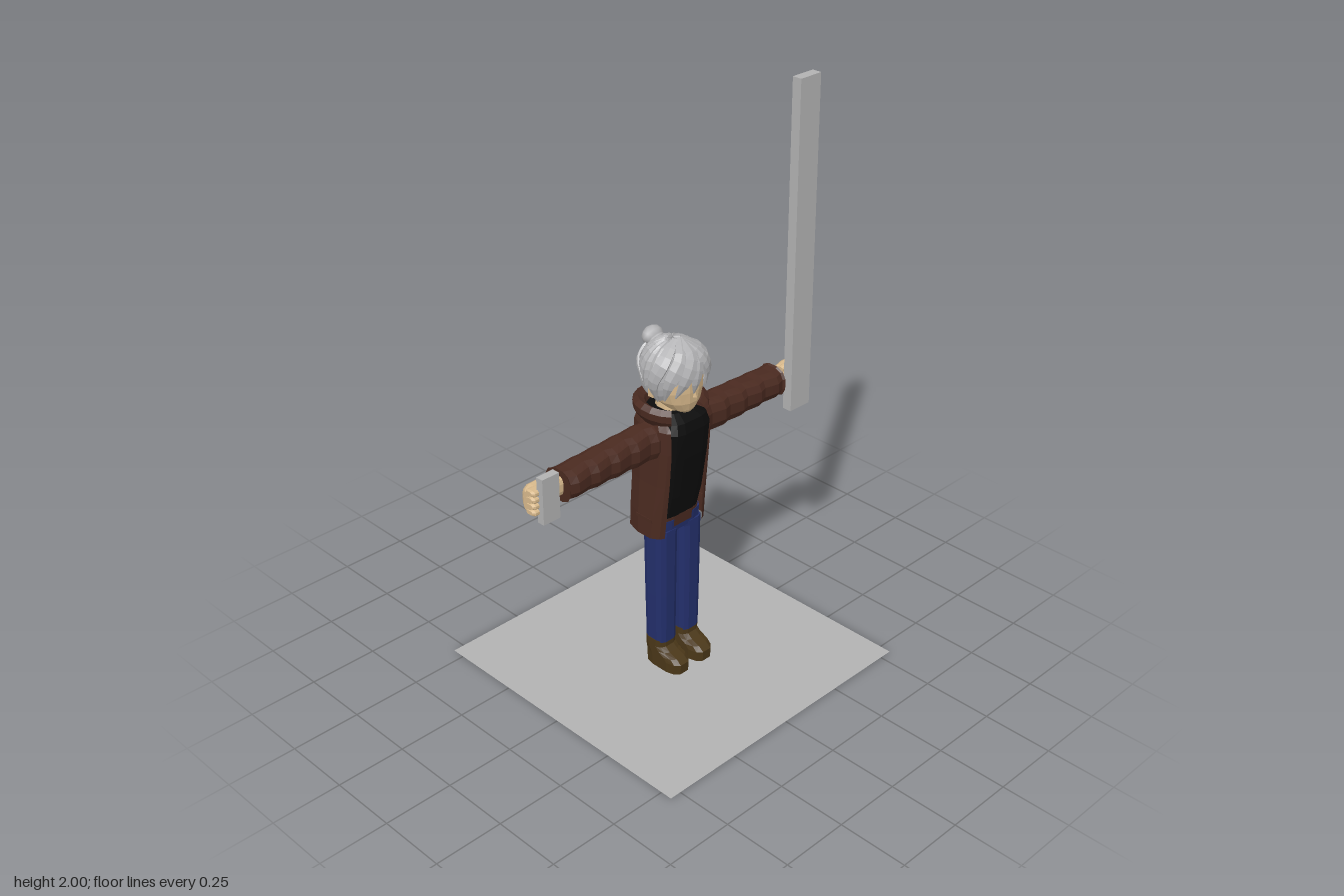
import * as THREE from 'three';

const mat = (name, color, side = THREE.FrontSide) => {
  const m = new THREE.MeshStandardMaterial({ color, side });
  m.name = name;
  return m;
};
const V = (x, y, z) => new THREE.Vector3(x, y, z);

// Faceted surface through rings of points that run counter-clockwise seen from the far end
function loft(rings, { closed = true, caps = true } = {}) {
  const pos = [], n = rings[0].length;
  const tri = (...p) => p.forEach(v => pos.push(v.x, v.y, v.z));
  for (let i = 0; i < rings.length - 1; i++) {
    for (let j = 0; j < (closed ? n : n - 1); j++) {
      const k = (j + 1) % n;
      const a = rings[i][j], b = rings[i][k], c = rings[i + 1][k], d = rings[i + 1][j];
      tri(a, b, c);
      tri(a, c, d);
    }
  }
  if (caps) {
    const mid = r => r.reduce((s, p) => s.add(p), V(0, 0, 0)).divideScalar(n);
    const lo = rings[0], hi = rings[rings.length - 1], ml = mid(lo), mh = mid(hi);
    for (let j = 0; j < n; j++) {
      const k = (j + 1) % n;
      tri(ml, lo[k], lo[j]);
      tri(mh, hi[j], hi[k]);
    }
  }
  const g = new THREE.BufferGeometry();
  g.setAttribute('position', new THREE.Float32BufferAttribute(pos, 3));
  g.computeVertexNormals();
  return g;
}

// Rounded-square ring in a horizontal plane; p sets how square it is
function ring(y, cx, cz, rx, rz, p = 2.6, n = 12) {
  const f = v => Math.sign(v) * Math.abs(v) ** (2 / p);
  return Array.from({ length: n }, (_, j) => {
    const t = (j + 0.5) / n * Math.PI * 2;
    return V(cx + rx * f(Math.sin(t)), y, cz + rz * f(Math.cos(t)));
  });
}

// Copy of a geometry mirrored in x, with its corners put back in order
function mirror(geo) {
  const g = geo.index ? geo.toNonIndexed() : geo.clone();
  g.scale(-1, 1, 1);
  const a = g.attributes.position.array;
  for (let i = 0; i < a.length; i += 9)
    for (let c = 0; c < 3; c++) [a[i + 3 + c], a[i + 6 + c]] = [a[i + 6 + c], a[i + 3 + c]];
  g.computeVertexNormals();
  return g;
}

// Point on the hair surface at an angle from the front (degrees) and a height
function scalp(deg, y, k = 1) {
  const t = THREE.MathUtils.degToRad(deg), c = (y - 1.145) / 0.108;
  const s = Math.sqrt(Math.max(0, 1 - c * c)), r = (c < 0 ? Math.sqrt(s) : s) * k;
  return V(0.108 * r * Math.sin(t), y + (k - 1) * c * 0.108, 0.005 + 0.113 * r * Math.cos(t));
}

// Flattened, tapering lock of hair lying on the scalp
function lock(path, width) {
  const curve = new THREE.CatmullRomCurve3(path.map(([d, y]) => scalp(d, y, 1.04)));
  const rings = [], steps = 8;
  for (let i = 0; i <= steps; i++) {
    const u = i / steps, p = curve.getPoint(u), t = curve.getTangent(u);
    const out = p.clone().sub(V(0, 1.145, 0)).normalize();
    const side = t.clone().cross(out).normalize();
    const w = width * (0.08 + 0.92 * Math.sin(Math.PI * (0.15 + 0.85 * u)));
    rings.push(Array.from({ length: 6 }, (_, j) => {
      const a = j / 6 * Math.PI * 2;
      return p.clone().addScaledVector(out, Math.cos(a) * w * 0.4).addScaledVector(side, Math.sin(a) * w);
    }));
  }
  return loft(rings);
}

export function createModel() {
  const root = new THREE.Group();
  const D = THREE.DoubleSide;
  const skin = mat('skin', 0xd8b98c), hair = mat('greyHair', 0xb2b2b4, D);
  const leather = mat('brownLeather', 0x4a2a20, D), black = mat('blackCloth', 0x0c0c0c);
  const denim = mat('blueDenim', 0x232f6b), boot = mat('bootBrown', 0x4a3718);
  const metal = mat('greyMetal', 0xb2b2b2), floor = mat('floorGrey', 0xb2b2b2, D);

  const add = (name, geo, m) => {
    const mesh = new THREE.Mesh(geo, m);
    mesh.name = name;
    root.add(mesh);
    return mesh;
  };
  const pair = (name, geo, m) => {
    add('left' + name, geo, m);
    add('right' + name, mirror(geo), m);
  };
  const box = (w, h, d, x, y, z) => new THREE.BoxGeometry(w, h, d).translate(x, y, z);
  // Loft along +x from rows of [x, y centre, z centre, y radius, z radius]
  const limb = (rows, p) => loft(rows.map(([x, y, z, ry, rz]) => ring(x, -y, z, ry, rz, p))).rotateZ(-Math.PI / 2);

  // Floor panel
  add('floorPanel', new THREE.PlaneGeometry(1.09, 1.09).rotateX(-Math.PI / 2).translate(0, 0.004, 0), floor);

  // Boots and legs
  pair('Boot', loft([[0, -0.045, 0.118], [0.042, -0.047, 0.12], [0.058, -0.046, 0.1], [0.07, -0.045, 0.065],
    [0.085, -0.044, 0.045], [0.112, -0.045, 0.045]]
    .map(([y, b, f]) => ring(y, 0.055, (f + b) / 2, 0.045, (f - b) / 2, 3))), boot);
  pair('Leg', loft([[0.105, 0.055, 0.043, 0.045], [0.3, 0.056, 0.045, 0.048], [0.54, 0.056, 0.047, 0.051], [0.56, 0.052, 0.052, 0.051]]
    .map(([y, x, rx, rz]) => ring(y, x, 0.002, rx, rz, 3.2))), denim);
  add('hips', loft([ring(0.55, 0, 0, 0.1, 0.05, 4), ring(0.6, 0, 0, 0.1, 0.055, 4)]), denim);

  // Shirt with the jacket's hem band below it: [height, front z, half width]
  const torso = rows => loft(rows.map(([y, f, w]) => ring(y, 0, (f - 0.085) / 2, w, (f + 0.085) / 2, 4, 16)));
  add('hemBand', torso([[0.57, 0.052, 0.093], [0.612, 0.056, 0.093]]), leather);
  add('shirt', torso([[0.61, 0.055, 0.09], [0.7, 0.078, 0.093], [0.85, 0.1, 0.097], [0.95, 0.11, 0.097],
    [0.985, 0.1, 0.088], [1.005, 0.06, 0.06]]), black);

  // Open jacket: rows of [height, half width, front z, back z, opening half width]
  const coat = [[0.545, 0.122, 0.055, -0.125, 0.088], [0.62, 0.12, 0.062, -0.124, 0.086], [0.75, 0.112, 0.076, -0.12, 0.086],
    [0.88, 0.108, 0.088, -0.113, 0.088], [0.96, 0.108, 0.085, -0.108, 0.088], [0.985, 0.1, 0.07, -0.1, 0.075], [1.005, 0.07, 0.05, -0.085, 0.055]];
  add('jacketBody', loft(coat.map(([y, w, f, b, o]) => {
    const half = [V(o, y, f), V((o + w) / 2, y, f - 0.008), V(w, y, f - 0.035), V(w, y, -0.04),
      V(w * 0.87, y, b * 0.75), V(w * 0.5, y, b * 0.96)];
    return [...half, V(0, y, b), ...half.map(p => V(-p.x, p.y, p.z)).reverse()];
  }), { closed: false, caps: false }), leather);
  pair('JacketPocket', box(0.004, 0.012, 0.075, 0.12, 0.613, -0.01), leather);

  // Folded collar, open at the front
  add('collar', loft([[0.965, 0.1], [1.005, 0.128], [1.03, 0.13], [1.045, 0.112], [1.03, 0.09], [0.975, 0.075]].map(([y, r]) =>
    Array.from({ length: 17 }, (_, j) => {
      const a = THREE.MathUtils.degToRad(42 + 276 * j / 16);
      return V(r * Math.sin(a), y - 0.012 * Math.max(0, Math.cos(a)), r * 0.94 * Math.cos(a) - 0.005);
    })), { closed: false, caps: false }), leather);

  // Sleeves with light creases
  const sleeve = [];
  for (let i = 0; i <= 14; i++) {
    const u = i / 14, crease = 0.003 * Math.sin(i * 2.1);
    sleeve.push([0.085 + 0.405 * u, 0.911 - 0.003 * u, -0.003 + crease, 0.064 - 0.013 * u - crease / 2, 0.057 + crease]);
  }
  sleeve.push([0.497, 0.908, -0.004, 0.057, 0.06]);
  pair('Sleeve', limb(sleeve, 2.5), leather);

  // Hands with curled fingers and a thumb
  pair('Hand', limb([[0.47, 0.91, 0, 0.033, 0.022], [0.515, 0.91, 0, 0.034, 0.023], [0.525, 0.91, 0.001, 0.044, 0.026],
    [0.565, 0.91, -0.002, 0.046, 0.034], [0.605, 0.91, 0, 0.046, 0.035], [0.625, 0.91, 0.002, 0.042, 0.027], [0.633, 0.91, 0.004, 0.034, 0.016]], 2.8), skin);
  for (let i = 0; i < 4; i++)
    pair('Finger' + (i + 1), limb([[0.6, 0.876 + i * 0.023, 0.02, 0.011, 0.021], [0.628, 0.876 + i * 0.023, 0.02, 0.011, 0.021],
      [0.635, 0.876 + i * 0.023, 0.018, 0.007, 0.014]], 3), skin);
  pair('Thumb', limb([[0.515, 0.945, 0.012, 0.01, 0.012], [0.55, 0.952, 0.018, 0.012, 0.013], [0.58, 0.95, 0.02, 0.008, 0.009]], 2.5), skin);

  // Held bars: a long blade and a short block
  const blade = add('longBlade', new THREE.BoxGeometry(0.095, 1.2, 0.036), metal);
  blade.position.set(0.5625, 1.4, 0.046);
  blade.rotation.x = -0.005;
  add('shortBlock', box(0.068, 0.163, 0.028, -0.579, 0.918, 0.044), metal);

  // Neck and head
  add('neck', loft([ring(0.97, 0, -0.005, 0.05, 0.05), ring(1.06, 0, -0.005, 0.042, 0.045)]), skin);
  add('head', loft([[1.008, 0.045, 0.025, 0.035], [1.02, 0.035, 0.045, 0.055], [1.05, 0.018, 0.074, 0.082], [1.09, 0.01, 0.09, 0.094],
    [1.15, 0.004, 0.095, 0.1], [1.2, 0, 0.078, 0.085], [1.225, 0, 0.045, 0.05]]
    .map(([y, z, rx, rz]) => ring(y, 0, z, rx, rz, 2.2, 16))), skin);
  add('nose', new THREE.ConeGeometry(0.009, 0.025, 4).toNonIndexed().translate(0, 1.085, 0.105), skin);
  pair('Ear', box(0.012, 0.034, 0.022, 0.092, 1.085, 0), skin);

  // Hair shell with ridged strands and a jagged hem, lifted over the face
  const rows = 9, cols = 44, shell = [];
  for (let i = 0; i <= rows; i++) {
    shell.push(Array.from({ length: cols }, (_, j) => {
      const deg = j / cols * 360, off = Math.min(deg, 360 - deg);
      const hem = THREE.MathUtils.lerp(1.135, 1.05, THREE.MathUtils.smoothstep(off, 35, 75)) + (j % 3) * 0.006;
      const a = Math.acos((hem - 1.145) / 0.108) * (1 - i / rows);
      return scalp(deg + 12 * i / rows, 1.145 + 0.108 * Math.cos(a), j % 2 ? 1.02 : 0.975);
    }));
  }
  add('hairCap', loft(shell, { caps: false }), hair);

  // Swept fringe, side locks and strands gathered at the back
  [
    [[[20, 1.25], [-5, 1.21], [-25, 1.15], [-42, 1.085]], 0.03],
    [[[20, 1.25], [5, 1.2], [-6, 1.14], [-8, 1.095]], 0.024],
    [[[10, 1.25], [-30, 1.21], [-52, 1.14], [-62, 1.07]], 0.028],
    [[[10, 1.25], [20, 1.21], [28, 1.16], [30, 1.1]], 0.026],
    [[[20, 1.25], [38, 1.2], [48, 1.14], [54, 1.07]], 0.028],
    [[[30, 1.25], [60, 1.2], [72, 1.13], [76, 1.055]], 0.026],
    [[[-30, 1.25], [-65, 1.2], [-80, 1.13], [-80, 1.055]], 0.026],
    [[[178, 1.22], [165, 1.19], [140, 1.16], [105, 1.12]], 0.02],
    [[[182, 1.22], [195, 1.19], [220, 1.16], [255, 1.12]], 0.02],
    [[[178, 1.21], [170, 1.16], [160, 1.11], [150, 1.065]], 0.02],
    [[[182, 1.21], [190, 1.16], [200, 1.11], [210, 1.065]], 0.02],
  ].forEach(([path, w], i) => add('hairLock' + (i + 1), lock(path, w), hair));

  // Bun
  add('hairBun', new THREE.IcosahedronGeometry(0.035, 1).scale(1.15, 1, 0.9).translate(0.003, 1.223, -0.092), hair);
  add('hairTie', new THREE.TorusGeometry(0.027, 0.008, 6, 10).rotateX(0.6).translate(0.003, 1.212, -0.076), hair);

  return root;
}
